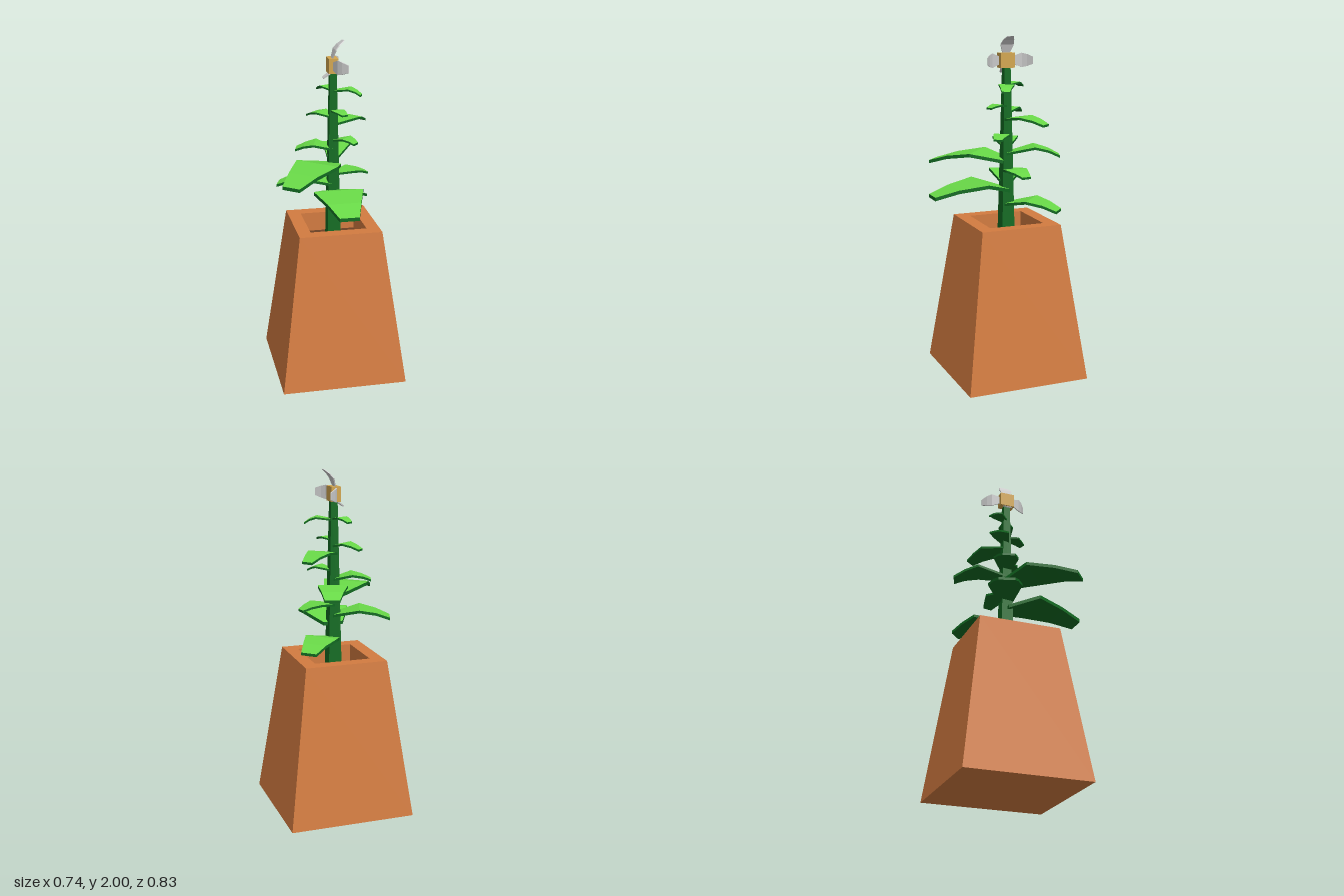
import * as THREE from 'three';

const CZ = -0.045; // centre of pot and stem
const mat = (color) => new THREE.MeshStandardMaterial({ color, flatShading: true });
const V = (x, y, z) => new THREE.Vector3(x, y, z);

function addMesh(parent, name, geometry, material) {
  const flat = geometry.index ? geometry.toNonIndexed() : geometry;
  flat.computeVertexNormals();
  const mesh = new THREE.Mesh(flat, material);
  mesh.name = name;
  parent.add(mesh);
  return mesh;
}

// Square solid from a profile of [half width, height]
function squareLathe(profile) {
  const pts = profile.map(([r, y]) => new THREE.Vector2(r * Math.SQRT2, y));
  return new THREE.LatheGeometry(pts, 4, Math.PI / 4);
}

// Thick ribbon through sections { p, h }; returns its upper face and the rest
function ribbon(sections, side, up, thickness) {
  const rings = sections.map(({ p, h }) => {
    const l = p.clone().addScaledVector(side, -h);
    const r = p.clone().addScaledVector(side, h);
    const drop = up.clone().multiplyScalar(-thickness);
    return [l, r, r.clone().add(drop), l.clone().add(drop)];
  });
  const top = [], shell = [];
  const quad = (out, a, b, c, d) => out.push(a, b, c, a, c, d);
  for (let k = 0; k < rings.length - 1; k++) {
    for (let j = 0; j < 4; j++) {
      const n = (j + 1) % 4;
      quad(j === 0 ? top : shell, rings[k][j], rings[k][n], rings[k + 1][n], rings[k + 1][j]);
    }
  }
  const [a, b, c, d] = rings[0];
  quad(shell, a, d, c, b);
  quad(shell, ...rings[rings.length - 1]);
  return [top, shell].map((pts) => new THREE.BufferGeometry().setFromPoints(pts));
}

export function createModel() {
  const model = new THREE.Group();
  const clay = mat(0xd27b40), soilMat = mat(0x6b4023), stemGreen = mat(0x126b22);
  const leafGreen = mat(0x68d847), yellow = mat(0xd2a650), grey = mat(0xcccccc);

  // Tapered square pot with a hollow top
  addMesh(model, 'pot', squareLathe([
    [0, 0], [0.37, 0], [0.243, 0.925], [0.166, 0.925], [0.166, 0.8], [0, 0.8],
  ]), clay).position.z = CZ;
  const soil = addMesh(model, 'soil', new THREE.BoxGeometry(0.33, 0.02, 0.33), soilMat);
  soil.position.set(0, 0.8, CZ);

  // Tapered square stem
  addMesh(model, 'stem', squareLathe([[0, 0.8], [0.04, 0.8], [0.019, 1.83], [0, 1.83]]), stemGreen)
    .position.z = CZ;

  // Leaves: base height, widest point [x, y, z], half width there, tip [x, y, z], half width at tip
  const leaves = [
    [1.03, [0.11, 1.065, -0.16], 0.1, [0.225, 1.01, -0.282], 0.047],
    [1.12, [0, 1.17, 0.12], 0.145, [0, 1.105, 0.413], 0.056],
    [1.17, [-0.14, 1.21, -0.1], 0.1, [-0.31, 1.155, -0.155], 0.048],
    [1.23, [0.11, 1.245, -0.065], 0.07, [0.21, 1.215, -0.085], 0.028],
    [1.29, [-0.12, 1.33, 0.09], 0.136, [-0.307, 1.265, 0.307], 0.056],
    [1.33, [0.055, 1.37, -0.2], 0.085, [0.105, 1.315, -0.338], 0.042],
    [1.38, [-0.1, 1.41, -0.08], 0.075, [-0.208, 1.375, -0.105], 0.036],
    [1.43, [0.07, 1.45, 0.01], 0.05, [0.115, 1.425, 0.055], 0.026],
    [1.53, [0.11, 1.55, -0.12], 0.075, [0.207, 1.51, -0.204], 0.033],
    [1.57, [-0.06, 1.59, -0.1], 0.055, [-0.12, 1.56, -0.17], 0.025],
    [1.605, [0.02, 1.615, 0.02], 0.04, [0.045, 1.6, 0.08], 0.02],
    [1.72, [0.09, 1.735, -0.01], 0.045, [0.152, 1.7, 0.02], 0.023],
    [1.725, [-0.03, 1.738, -0.11], 0.04, [-0.058, 1.715, -0.16], 0.02],
  ];
  const up = V(0, 1, 0);
  leaves.forEach(([baseY, midAt, midHalf, tipAt, tipHalf], i) => {
    const base = V(0, baseY, CZ), mid = V(...midAt), tip = V(...tipAt);
    const crease = mid.clone().lerp(tip, 0.55);
    crease.y = THREE.MathUtils.lerp(mid.y, tip.y, 0.4);
    const side = tip.clone().sub(base).setY(0).normalize().cross(up);
    const [top, shell] = ribbon([
      { p: base, h: midHalf * 0.4 },
      { p: mid, h: midHalf },
      { p: crease, h: THREE.MathUtils.lerp(midHalf, tipHalf, 0.55) },
      { p: tip, h: tipHalf },
    ], side, up, 0.006 + midHalf * 0.1);
    const leaf = new THREE.Group();
    leaf.name = `leaf${i + 1}`;
    addMesh(leaf, 'leafTop', top, leafGreen);
    addMesh(leaf, 'leafUnderside', shell, stemGreen);
    model.add(leaf);
  });

  // Flower facing +x: a block with four petals around it
  const flower = new THREE.Group();
  flower.name = 'flower';
  flower.position.set(0, 1.863, CZ);
  model.add(flower);
  addMesh(flower, 'flowerCentre', new THREE.BoxGeometry(0.055, 0.085, 0.088), yellow).position.x = -0.003;

  const front = V(1, 0, 0);
  for (const dir of [V(0, 1, 0), V(0, 0, 1), V(0, 0, -1)]) {
    const at = (x, r, h) => ({ p: dir.clone().multiplyScalar(r).setX(x), h });
    const parts = ribbon(
      [at(-0.003, 0.035, 0.02), at(0.015, 0.09, 0.041), at(0.035, 0.115, 0.034), at(0.064, 0.138, 0.021)],
      dir.clone().cross(front), front, 0.007);
    parts.forEach((g) => addMesh(flower, 'petal', g, grey));
  }
  // Lower petal, bent backwards past the stem
  const lower = ribbon([
    { p: V(0, -0.035, 0), h: 0.02 },
    { p: V(-0.025, -0.052, 0), h: 0.026 },
    { p: V(-0.055, -0.074, 0), h: 0.018 },
  ], V(0, 0, 1), V(0.5, -0.86, 0), 0.007);
  lower.forEach((g) => addMesh(flower, 'lowerPetal', g, grey));

  return model;
}
